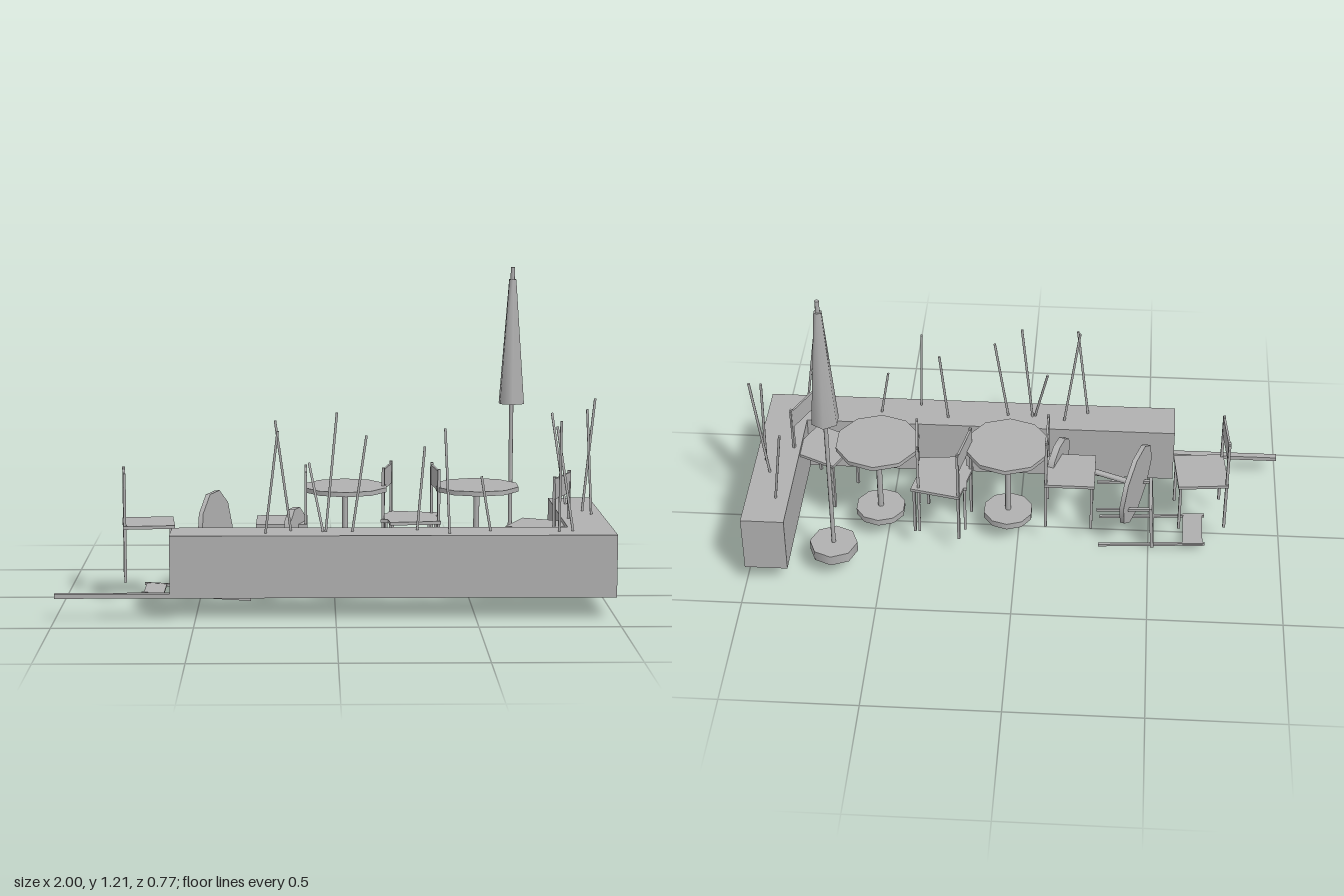
import * as THREE from 'three';

const GROUND = 0.085;
const DECK = 0.31;

export function createModel() {
  const root = new THREE.Group();
  root.name = 'terrace';
  const grey = new THREE.MeshStandardMaterial({ color: 0xb0b0b0 });
  grey.name = 'plain grey';

  const add = (parent, name, geometry, x = 0, y = 0, z = 0) => {
    const mesh = new THREE.Mesh(geometry, grey);
    mesh.name = name;
    mesh.position.set(x, y, z);
    parent.add(mesh);
    return mesh;
  };
  const box = (p, name, w, h, d, x, y, z) => add(p, name, new THREE.BoxGeometry(w, h, d), x, y, z);
  const cyl = (p, name, rTop, rBottom, y0, y1, sides) =>
    add(p, name, new THREE.CylinderGeometry(rTop, rBottom, y1 - y0, sides), 0, (y0 + y1) / 2, 0);
  const group = (name, x, y, z) => {
    const g = new THREE.Group();
    g.name = name;
    g.position.set(x, y, z);
    root.add(g);
    return g;
  };

  // L-shaped planter wall, drawn in plan and raised
  const plan = new THREE.Shape([
    [-0.59, -0.385], [1, -0.385], [1, 0.39], [0.84, 0.39], [0.84, -0.225], [-0.59, -0.225],
  ].map(([x, y]) => new THREE.Vector2(x, y)));
  const wall = new THREE.ExtrudeGeometry(plan, { depth: DECK - GROUND, bevelEnabled: false });
  wall.rotateX(-Math.PI / 2);
  add(root, 'planter', wall, 0, GROUND, 0);
  box(root, 'kerb', 0.41, 0.016, 0.024, -0.795, GROUND + 0.008, 0.373);

  // Chair with its back towards local +x and its feet at y = 0
  const chair = (name, x, y, z) => {
    const g = group(name, x, y, z);
    box(g, 'seat', 0.19, 0.012, 0.19, 0, 0.205, 0);
    for (const s of [-1, 1]) {
      box(g, 'backPost', 0.01, 0.405, 0.01, 0.088, 0.2025, s * 0.083);
      box(g, 'frontLeg', 0.01, 0.2, 0.01, -0.085, 0.1, s * 0.083);
    }
    box(g, 'backrest', 0.008, 0.075, 0.182, 0.088, 0.36, 0);
    return g;
  };

  // Standing chairs: position and the direction of the back
  const chairs = [
    [-0.69, 0.022, -0.994, 0.1],
    [-0.195, -0.005, 1, 0],
    [0.285, -0.08, -0.98, -0.21],
    [0.29, -0.05, 0.99, -0.1],
    [0.75, 0.09, 0.9, 0.43],
  ];
  for (const [x, z, dx, dz] of chairs) {
    chair('chair', x, GROUND, z).rotation.y = Math.atan2(-dz, dx);
  }

  // Chair tipped onto its back
  const tipped = chair('tippedChair', -0.305, 0.098, -0.015);
  tipped.rotation.set(0, Math.PI, 1.508, 'ZYX');

  // Pedestal table with ten-sided top and foot
  const table = (name, x, y, z) => {
    const g = group(name, x, y, z);
    cyl(g, 'tableFoot', 0.095, 0.095, 0, 0.025, 10);
    cyl(g, 'tableStem', 0.011, 0.011, 0.025, 0.32, 8);
    cyl(g, 'tableTop', 0.16, 0.16, 0.32, 0.337, 10);
    return g;
  };
  table('table', 0.04, GROUND, -0.023);
  table('table', 0.53, GROUND, -0.03);
  table('fallenTable', -0.133, 0.266, 0.092).rotation.set(0, -0.32, 1.63, 'YXZ');

  // Folded parasol
  const parasol = group('parasol', 0.68, 0, -0.272);
  cyl(parasol, 'parasolFoot', 0.09, 0.09, GROUND, GROUND + 0.04, 8);
  cyl(parasol, 'parasolPole', 0.008, 0.008, GROUND + 0.04, 1.218, 8);
  cyl(parasol, 'foldedCanopy', 0.015, 0.053, 0.698, 1.172, 6);

  // Leaning canes in the planter: foot x, z and tip x, y, z
  const canes = [
    [-0.25, 0.335, -0.205, 0.68, 0.36],
    [-0.16, 0.285, -0.215, 0.71, 0.302],
    [-0.045, 0.307, -0.095, 0.55, 0.247],
    [-0.035, 0.303, 0.005, 0.735, 0.28],
    [0.06, 0.305, 0.11, 0.655, 0.295],
    [0.293, 0.277, 0.32, 0.61, 0.262],
    [0.405, 0.35, 0.39, 0.68, 0.302],
    [0.555, 0.297, 0.522, 0.505, 0.285],
    [0.85, 0.303, 0.795, 0.68, 0.252],
    [0.8, 0.31, 0.798, 0.712, 0.345],
    [0.935, -0.1, 0.98, 0.735, -0.118],
    [0.96, -0.03, 0.945, 0.7, -0.073],
    [0.89, -0.25, 0.842, 0.655, -0.317],
  ];
  const up = new THREE.Vector3(0, 1, 0);
  for (const [x, z, tx, ty, tz] of canes) {
    const foot = new THREE.Vector3(x, DECK, z);
    const axis = new THREE.Vector3(tx, ty, tz).sub(foot);
    const length = axis.length();
    const cane = add(root, 'cane', new THREE.CylinderGeometry(0.005, 0.005, length, 6));
    cane.position.copy(foot).addScaledVector(axis, 0.5);
    cane.quaternion.setFromUnitVectors(up, axis.normalize());
  }

  return root;
}
